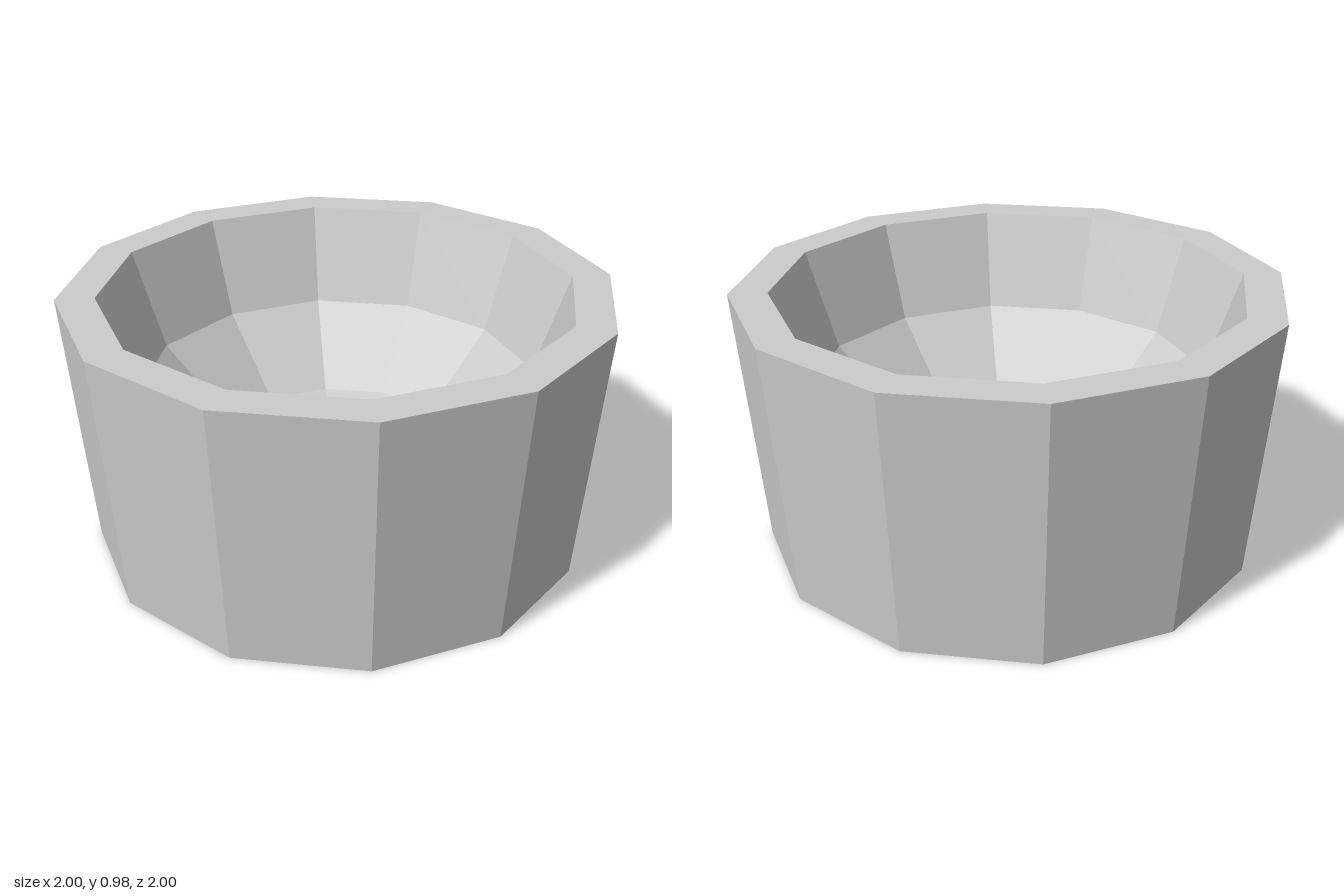
import * as THREE from 'three';

const SIDES = 12;

export function createModel() {
  const group = new THREE.Group();
  group.name = 'bowl';
  const material = new THREE.MeshStandardMaterial({ color: 0xcccccc, flatShading: true });

  // One closed profile revolved with the given number of sides
  const addLathe = (name, points) => {
    const profile = points.map(([r, y]) => new THREE.Vector2(r, y));
    const mesh = new THREE.Mesh(new THREE.LatheGeometry(profile, SIDES), material);
    mesh.name = name;
    group.add(mesh);
  };

  // Flat base, tapered outer wall and flat rim
  addLathe('outerWall', [[0, 0], [0.925, 0], [1, 0.98], [0.86, 0.98]]);

  // Rounded hollow ending in a small flat floor
  addLathe('innerBowl', [[0.86, 0.98], [0.735, 0.61], [0.46, 0.33], [0.12, 0.21], [0, 0.21]]);

  return group;
}
